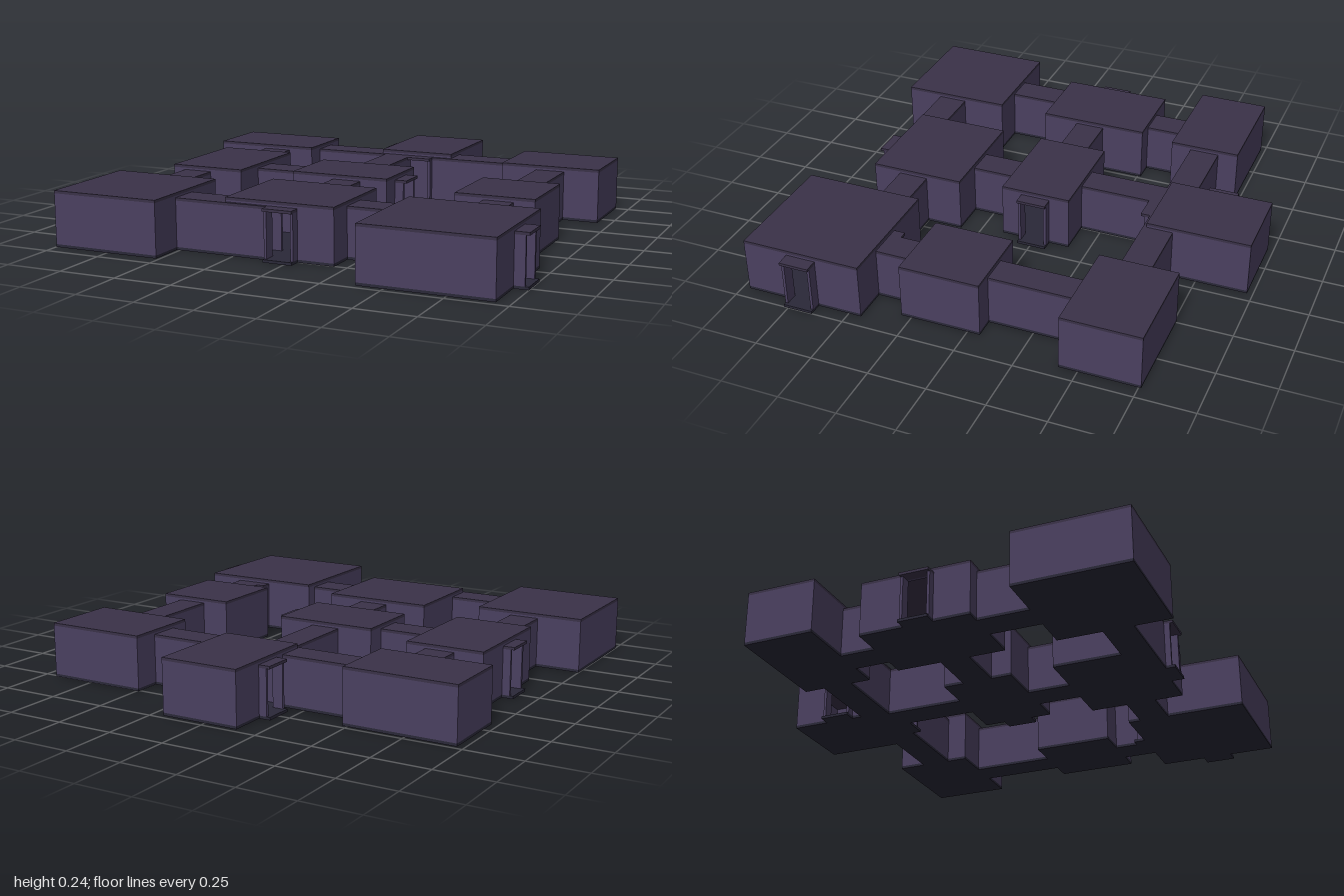
import * as THREE from 'three';

const T = 0.012; // wall and slab thickness
const ROOM_H = 0.24, HALL_H = 0.22;

// rooms: x0, x1, z0, z1
const ROOMS = [
  [-0.97, -0.48, -0.73, -0.42], [-0.15, 0.20, -0.975, -0.525], [0.49, 0.94, -0.76, -0.42],
  [-0.86, -0.515, -0.265, 0.22], [-0.29, 0.16, -0.16, 0.15], [0.525, 0.87, -0.055, 0.295],
  [-1.0, -0.515, 0.445, 0.93], [-0.29, 0.195, 0.34, 0.755], [0.385, 0.94, 0.445, 0.97],
];
// corridors: x0, x1, z0, z1, running axis, open outer end (+1, -1 or 0 for none)
const HALLS = [
  [-0.48, 0.49, -0.64, -0.51, 'x', 0], [-0.515, -0.29, -0.07, 0.06, 'x', 0],
  [-0.515, -0.09, 0.64, 0.77, 'x', 0], [0.195, 0.385, 0.50, 0.63, 'x', 0],
  [-0.73, -0.60, -0.42, -0.265, 'z', 0], [-0.13, 0.0, -0.51, -0.16, 'z', 0],
  [0.65, 0.78, -0.42, -0.055, 'z', 0], [0.65, 0.78, 0.295, 0.445, 'z', 0],
  [-0.80, -0.67, 0.22, 0.445, 'z', 0], [-0.095, 0.035, 0.15, 0.34, 'z', 0],
  // short outer doorways
  [-0.20, -0.15, -0.815, -0.685, 'x', -1], [-0.91, -0.86, -0.07, 0.06, 'x', -1],
  [0.16, 0.215, -0.07, 0.06, 'x', 1], [0.94, 1.0, 0.64, 0.77, 'x', 1],
  [-0.02, 0.11, -0.525, -0.47, 'z', 1], [-0.095, 0.035, 0.755, 0.81, 'z', 1],
  [0.615, 0.745, 0.395, 0.445, 'z', -1],
];

export function createModel() {
  const model = new THREE.Group();
  const wallMat = new THREE.MeshStandardMaterial({ color: 0x4a4060 });
  const roofMat = new THREE.MeshStandardMaterial({ color: 0x3a3248 });
  const floorMat = new THREE.MeshStandardMaterial({ color: 0x2a2838 });

  // box between two corners
  function box(parent, name, mat, x0, x1, y0, y1, z0, z1) {
    if (x1 - x0 < 1e-4 || z1 - z0 < 1e-4) return;
    const mesh = new THREE.Mesh(new THREE.BoxGeometry(x1 - x0, y1 - y0, z1 - z0), mat);
    mesh.position.set((x0 + x1) / 2, (y0 + y1) / 2, (z0 + z1) / 2);
    mesh.name = name;
    parent.add(mesh);
  }

  function slabs(parent, [x0, x1, z0, z1], h) {
    box(parent, 'floor', floorMat, x0, x1, 0, T, z0, z1);
    box(parent, 'ceiling', roofMat, x0, x1, h - T, h, z0, z1);
  }

  // stretches of a wall line where corridors pass through it
  function doorways(axis, line, a0, a1) {
    const [l, a] = axis === 'x' ? [2, 0] : [0, 2];
    return HALLS
      .filter((h) => h[l] <= line + 1e-3 && h[l + 1] >= line - 1e-3)
      .map((h) => [Math.max(a0, h[a] + T), Math.min(a1, h[a + 1] - T)])
      .filter(([p, q]) => q > p)
      .sort((p, q) => p[0] - q[0]);
  }

  // one room wall, split around its doorways with a lintel above each
  function roomWall(room, axis, line, inward, a0, a1) {
    const t0 = Math.min(line, line + inward * T), t1 = t0 + T;
    const piece = (name, p, q, y0, y1) => axis === 'x'
      ? box(room, name, wallMat, p, q, y0, y1, t0, t1)
      : box(room, name, wallMat, t0, t1, y0, y1, p, q);
    let at = a0;
    for (const [p, q] of doorways(axis, line, a0, a1)) {
      if (p > at) piece('wall', at, p, T, ROOM_H - T);
      piece('lintel', Math.max(at, p), q, HALL_H - T, ROOM_H - T);
      at = Math.max(at, q);
    }
    piece('wall', at, a1, T, ROOM_H - T);
  }

  for (const r of ROOMS) {
    const room = new THREE.Group();
    room.name = 'room';
    const [x0, x1, z0, z1] = r;
    slabs(room, r, ROOM_H);
    roomWall(room, 'x', z0, 1, x0, x1);
    roomWall(room, 'x', z1, -1, x0, x1);
    roomWall(room, 'z', x0, 1, z0 + T, z1 - T);
    roomWall(room, 'z', x1, -1, z0 + T, z1 - T);
    model.add(room);
  }

  for (const h of HALLS) {
    const hall = new THREE.Group();
    const [x0, x1, z0, z1, axis, end] = h;
    hall.name = end ? 'outerDoorway' : 'corridor';
    slabs(hall, h, HALL_H);
    // side walls stop a little short of an open end
    const lo = end < 0 ? 0.015 : 0, hi = end > 0 ? 0.015 : 0;
    for (const side of [0, 1]) {
      if (axis === 'x') {
        const z = side ? z1 - T : z0;
        box(hall, 'sideWall', wallMat, x0 + lo, x1 - hi, T, HALL_H - T, z, z + T);
      } else {
        const x = side ? x1 - T : x0;
        box(hall, 'sideWall', wallMat, x, x + T, T, HALL_H - T, z0 + lo, z1 - hi);
      }
    }
    model.add(hall);
  }
  return model;
}
